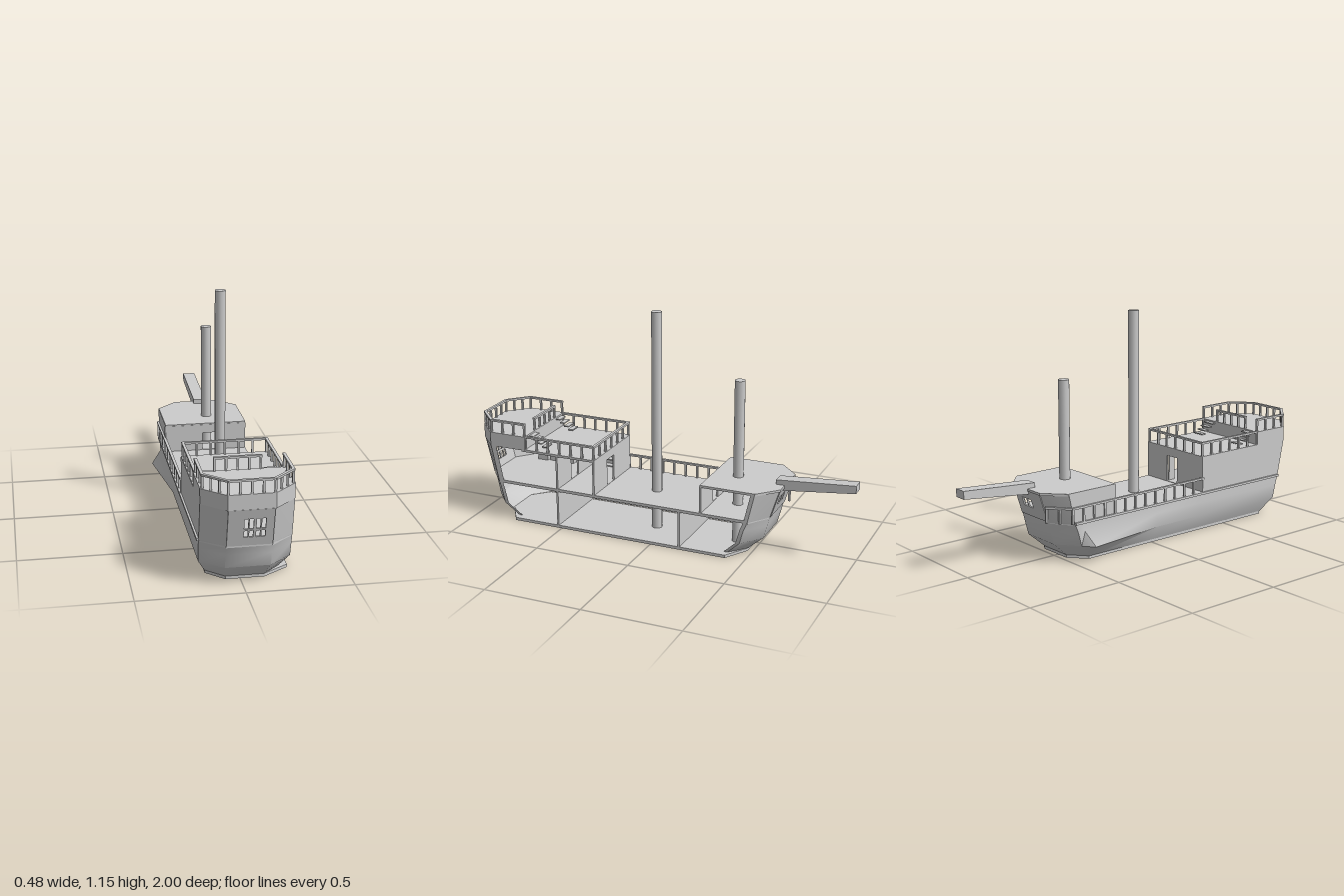
import * as THREE from 'three';
import { toCreasedNormals } from 'three/addons/utils/BufferGeometryUtils.js';

const CX = 0.0225; // centre line of the hull
const MAST_X = 0.045;
const mat = new THREE.MeshStandardMaterial({ color: 0xcccccc, side: THREE.DoubleSide });

export function createModel() {
  const ship = new THREE.Group();
  const add = (name, geo, parent = ship) => {
    const m = new THREE.Mesh(geo, mat);
    m.name = name;
    parent.add(m);
    return m;
  };
  const group = (name) => {
    const g = new THREE.Group();
    g.name = name;
    ship.add(g);
    return g;
  };
  // Box given by its limits on each axis
  const box = (name, x0, x1, y0, y1, z0, z1, parent) =>
    add(name, new THREE.BoxGeometry(x1 - x0, y1 - y0, z1 - z0), parent)
      .position.set((x0 + x1) / 2, (y0 + y1) / 2, (z0 + z1) / 2);
  const shapeOf = (pts) => new THREE.Shape(pts.map(([x, y]) => new THREE.Vector2(x, y)));
  const rectHole = (x0, x1, y0, y1) => shapeOf([[x0, y0], [x0, y1], [x1, y1], [x1, y0]]);
  const extrude = (shape, depth) => new THREE.ExtrudeGeometry(shape, { depth, bevelEnabled: false });
  // Horizontal slab with a plan outline in x, z
  const slab = (name, plan, y0, y1) =>
    add(name, extrude(shapeOf(plan.map(([x, z]) => [x, -z])), y1 - y0).rotateX(-Math.PI / 2)).position.y = y0;
  // Upright wall across the ship
  const wall = (name, outline, z, holes = []) => {
    const s = shapeOf(outline);
    s.holes.push(...holes.map((h) => rectHole(...h)));
    add(name, extrude(s, 0.01)).position.z = z - 0.005;
  };
  // Surface through rows of points, creased at sharp edges
  const loft = (name, rows) => {
    const n = rows[0].length, idx = [];
    for (let j = 0; j < rows.length - 1; j++)
      for (let i = 0; i < n - 1; i++) {
        const a = j * n + i, b = a + n;
        idx.push(a, a + 1, b, a + 1, b + 1, b);
      }
    const g = new THREE.BufferGeometry();
    g.setAttribute('position', new THREE.Float32BufferAttribute(rows.flat(2), 3));
    g.setIndex(idx);
    g.computeVertexNormals();
    add(name, toCreasedNormals(g, 0.7));
  };
  // Tilted end panel with window openings, from (y0,z0) up to (y1,z1)
  const endPanel = (name, y0, z0, y1, z1, holes) => {
    const h = Math.hypot(y1 - y0, z1 - z0);
    const s = shapeOf([[-0.105, 0], [0.105, 0], [0.105, h], [-0.105, h]]);
    s.holes.push(...holes.map((q) => rectHole(...q)));
    const m = add(name, extrude(s, 0.008).translate(0, 0, -0.004));
    m.position.set(CX, y0, z0);
    m.rotation.x = Math.atan2(z1 - z0, y1 - y0);
  };
  // Railing along a path of [x, z] points
  const railing = (name, path, y0, y1, step = 0.065) => {
    const g = group(name);
    for (let i = 0; i < path.length - 1; i++) {
      const [xa, za] = path[i], [xb, zb] = path[i + 1];
      const len = Math.hypot(xb - xa, zb - za), n = Math.max(1, Math.round(len / step));
      const bar = add('handrail', new THREE.BoxGeometry(0.014, 0.01, len + 0.01), g);
      bar.position.set((xa + xb) / 2, y1 - 0.005, (za + zb) / 2);
      bar.rotation.y = Math.atan2(xb - xa, zb - za);
      for (let k = 0; k <= n; k++) {
        const x = xa + (xb - xa) * k / n, z = za + (zb - za) * k / n;
        box('baluster', x - 0.005, x + 0.005, y0, y1 - 0.005, z - 0.005, z + 0.005, g);
      }
    }
  };

  // Lower hull: stern wraps round the closed side to the bow, the other side is cut open
  // [y, half width, end half width, stern corner, stern end, bow corner, bow end, side bulge]
  const levels = [
    [0.015, 0.175, 0.09, 0.77, 0.85, -0.4, -0.475, 0],
    [0.09, 0.213, 0.105, 0.83, 0.92, -0.475, -0.56, 0.055],
    [0.16, 0.215, 0.105, 0.845, 0.935, -0.495, -0.58, 0],
    [0.21, 0.215, 0.105, 0.86, 0.95, -0.515, -0.592, 0],
  ];
  loft('lowerHull', levels.map(([y, w, e, sc, se, bc, be, bulge]) => [
    [CX + w, y, sc - 0.02], [CX + w, y, sc], [CX + e, y, se], [CX - e, y, se], [CX - w, y, sc],
    [CX - w, y, 0.3], [CX - w, y, 0], [CX - w - bulge, y, bulge ? -0.43 : bc + 0.04],
    [CX - w, y, bc], [CX - e, y, be], [CX + e, y, be], [CX + w, y, bc], [CX + w, y, bc + 0.02],
  ]));

  // Upper stern and bow walls either side of the windowed end panels
  const upper = (name, dir, rows, closedZ, cut) => {
    for (const s of [-1, 1])
      loft(name, rows.map(([y, c, e]) => [
        [CX + s * 0.105, y, e], [CX + s * 0.215, y, c],
        [CX + s * 0.215, y, s < 0 ? closedZ : c - dir * cut],
      ]));
  };
  upper('sternWall', 1, [[0.21, 0.86, 0.95], [0.4, 0.9, 0.997]], 0.31, 0.03);
  upper('bowWall', -1, [[0.21, -0.515, -0.592], [0.36, -0.55, -0.64]], -0.27, 0.02);
  const panes = [];
  for (const x of [-0.03, 0.025])
    for (const [y0, y1] of [[0.045, 0.08], [0.09, 0.145]]) {
      panes.push([x, x + 0.018, y0, y1], [x + 0.024, x + 0.042, y0, y1]);
    }
  endPanel('sternWindow', 0.21, 0.95, 0.4, 0.997, panes);
  endPanel('bowWindow', 0.21, -0.592, 0.36, -0.64, [[-0.015, 0.019, 0.055, 0.1], [0.025, 0.059, 0.055, 0.1]]);

  // Decks
  const L = CX - 0.213, R = CX + 0.213;
  slab('keelFloor', [[-0.15, -0.4], [CX - 0.09, -0.475], [CX + 0.09, -0.475], [R, -0.4],
    [R, 0.77], [CX + 0.09, 0.85], [CX - 0.09, 0.85], [-0.15, 0.77]], 0, 0.015);
  slab('mainDeck', [[L, -0.515], [CX - 0.105, -0.59], [CX + 0.105, -0.59], [R, -0.515],
    [R, 0.86], [CX + 0.105, 0.95], [CX - 0.105, 0.95], [L, 0.86]], 0.2, 0.215);
  slab('foreDeck', [[L, -0.265], [L, -0.55], [-0.09, -0.645], [0.135, -0.645], [R, -0.55], [R, -0.265]], 0.35, 0.362);
  slab('quarterDeck', [[L, 0.305], [R, 0.305], [R, 0.72], [L, 0.72]], 0.39, 0.402);
  slab('poopDeck', [[L - 0.002, 0.7], [R + 0.003, 0.7], [R + 0.003, 0.9], [0.132, 1], [-0.085, 1], [L - 0.002, 0.9]], 0.398, 0.472);
  box('wale', -0.202, -0.188, 0.203, 0.215, -0.515, 0.86);

  // Bulkheads and cabin walls with doorways
  const hold = [[-0.15, 0.012], [R, 0.012], [R, 0.205], [L, 0.205], [L, 0.09]];
  wall('aftBulkhead', hold, 0.52);
  wall('foreBulkhead', hold, -0.155);
  const rect = (y0, y1) => [[L, y0], [R, y0], [R, y1], [L, y1]];
  wall('cabinFrontWall', rect(0.21, 0.395), 0.312, [[0.005, 0.085, 0.217, 0.355]]);
  wall('cabinDivider', rect(0.21, 0.395), 0.52, [[0.005, 0.085, 0.217, 0.355]]);
  wall('forecastleWall', rect(0.21, 0.355), -0.268, [[0.005, 0.075, 0.217, 0.31]]);

  // Masts and bowsprit
  for (const [name, z, top] of [['mainMast', 0.045, 1.153], ['foreMast', -0.395, 0.857]])
    add(name, new THREE.CylinderGeometry(0.027, 0.027, top - 0.01, 10)).position.set(MAST_X, (top + 0.01) / 2, z);
  add('bowsprit', extrude(shapeOf([[0.6, 0.33], [1, 0.375], [1, 0.415], [0.6, 0.385]]), 0.064).rotateY(Math.PI / 2))
    .position.x = 0.01;

  // Railings
  railing('mainDeckRail', [[-0.192, 0.31], [-0.196, -0.53], [-0.1, -0.615]], 0.21, 0.292);
  railing('quarterDeckRail', [[-0.182, 0.7], [-0.182, 0.312], [0.228, 0.312], [0.228, 0.7]], 0.4, 0.475);
  railing('poopRail', [[-0.182, 0.705], [-0.182, 0.897], [-0.082, 0.992], [0.128, 0.992], [0.228, 0.897], [0.228, 0.705]], 0.47, 0.54, 0.055);
  railing('poopFrontRail', [[-0.095, 0.705], [0.12, 0.705]], 0.47, 0.54, 0.055);

  // Open-tread stairs up to the poop
  for (const x of [-0.16, 0.13]) {
    const g = group('poopStairs');
    for (let i = 0; i < 4; i++)
      box('tread', x, x + 0.062, 0.411 + i * 0.016, 0.417 + i * 0.016, 0.6 + i * 0.024, 0.626 + i * 0.024, g);
  }

  // Cabin furniture
  const shelf = group('bookshelf');
  box('back', -0.188, -0.183, 0.215, 0.37, 0.365, 0.475, shelf);
  for (const z of [0.365, 0.469]) box('side', -0.188, -0.15, 0.215, 0.37, z, z + 0.006, shelf);
  for (let i = 0; i < 5; i++) box('board', -0.188, -0.15, 0.218 + i * 0.0365, 0.224 + i * 0.0365, 0.37, 0.47, shelf);
  box('openDoor', 0.085, 0.093, 0.217, 0.35, 0.325, 0.362);
  box('largeCrate', -0.17, -0.11, 0.215, 0.268, 0.762, 0.82);
  box('smallCrate', -0.17, -0.12, 0.215, 0.258, 0.69, 0.75);
  box('lowChest', -0.17, -0.12, 0.215, 0.243, 0.61, 0.68);
  add('candleStand', new THREE.CylinderGeometry(0.004, 0.01, 0.1, 8)).position.set(-0.15, 0.265, 0.582);
  add('lantern', new THREE.CylinderGeometry(0.01, 0.01, 0.05, 8)).position.set(-0.15, 0.36, 0.85);

  // Ladder in the hold
  const ladder = group('holdLadder');
  for (const x of [-0.12, -0.06]) box('stile', x - 0.004, x + 0.004, -0.095, 0.095, -0.004, 0.004, ladder);
  for (let i = 0; i < 5; i++) box('rung', -0.12, -0.06, -0.073 + i * 0.035, -0.067 + i * 0.035, -0.003, 0.003, ladder);
  ladder.position.set(0, 0.108, 0.645);
  ladder.rotation.x = -0.31;

  return ship;
}
